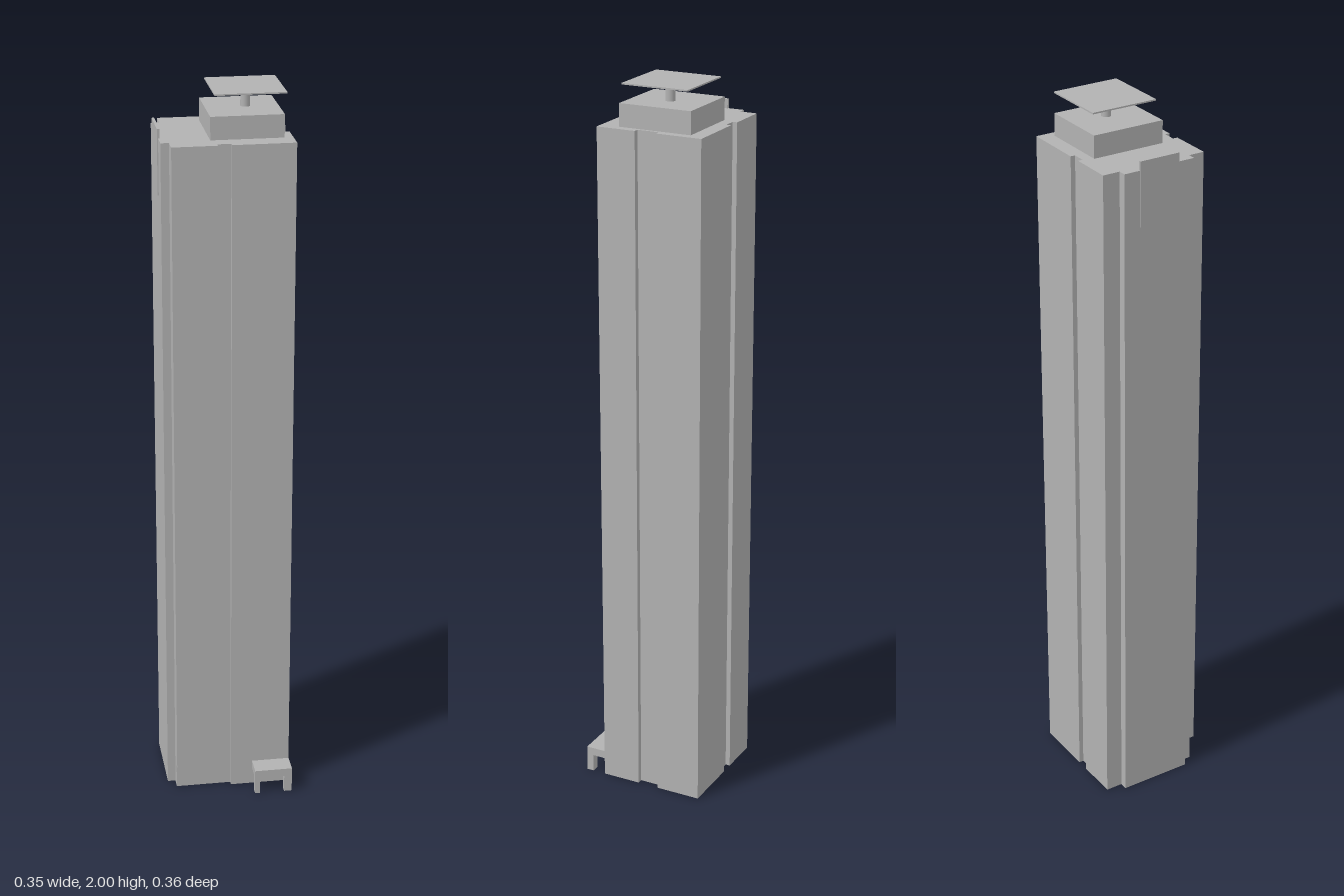
import * as THREE from 'three';

// Vertical walls following a closed outline of [x, z] points, open at top and bottom
function wallGeometry(outline, y0, y1) {
  const pos = [];
  outline.forEach(([ax, az], i) => {
    const [bx, bz] = outline[(i + 1) % outline.length];
    pos.push(ax, y0, az, bx, y0, bz, bx, y1, bz, ax, y0, az, bx, y1, bz, ax, y1, az);
  });
  const geo = new THREE.BufferGeometry();
  geo.setAttribute('position', new THREE.Float32BufferAttribute(pos, 3));
  geo.computeVertexNormals();
  return geo;
}

// Flat cap over the same kind of outline
function capGeometry(outline, y) {
  const shape = new THREE.Shape(outline.map(([x, z]) => new THREE.Vector2(x, -z)));
  return new THREE.ShapeGeometry(shape).rotateX(-Math.PI / 2).translate(0, y, 0);
}

export function createModel() {
  const group = new THREE.Group();
  group.name = 'tower';
  const concrete = new THREE.MeshStandardMaterial({ color: 0xb2b2b2, side: THREE.DoubleSide });
  concrete.name = 'concrete';

  const add = (name, geo) => {
    const mesh = new THREE.Mesh(geo, concrete);
    mesh.name = name;
    group.add(mesh);
  };
  // Box given by its minimum and maximum on each axis
  const box = (name, x0, x1, y0, y1, z0, z1) => add(name,
    new THREE.BoxGeometry(x1 - x0, y1 - y0, z1 - z0)
      .translate((x0 + x1) / 2, (y0 + y1) / 2, (z0 + z1) / 2));

  // Floor plan with a groove in the front, left and back, and a bay on the right
  const shared = [
    [0.005, 0.107], [0.005, 0.12], [0.172, 0.12],
    [0.172, 0.01], [0.157, 0.01], [0.157, -0.05], [0.172, -0.05],
    [0.172, -0.178], [0.003, -0.178], [0.003, -0.165], [-0.033, -0.165], [-0.033, -0.178],
    [-0.15, -0.178], [-0.15, -0.13], [-0.172, -0.13], [-0.172, 0.076], [-0.15, 0.076],
  ];
  const upper = [[-0.15, 0.12], [-0.031, 0.12], [-0.031, 0.107], ...shared];
  const lower = [[-0.15, 0.107], ...shared];
  const baseTop = 0.07, roofY = 1.885;

  // Tower shell, open underneath, with a recessed ground floor at one front corner
  add('towerWalls', wallGeometry(upper, baseTop, roofY));
  add('groundFloorWalls', wallGeometry(lower, 0, baseTop));
  add('roof', capGeometry(upper, roofY));
  add('recessSoffit', capGeometry(
    [[-0.15, 0.12], [-0.031, 0.12], [-0.031, 0.107], [-0.15, 0.107]], baseTop).scale(1, 1, 1));

  // Rooftop plant room and landing pad on its post
  box('plantRoom', -0.043, 0.149, roofY, 1.946, -0.137, 0.067);
  add('padPost', new THREE.CylinderGeometry(0.013, 0.013, 0.05, 16).translate(0.063, 1.971, -0.035));
  box('landingPad', -0.03, 0.157, 1.996, 2, -0.132, 0.055);

  // Sign plate at the top of the bay
  box('signPlate', -0.175, -0.168, 1.735, 1.91, -0.085, 0.03);

  // Entrance porch
  box('porchRoof', 0.066, 0.172, 0.05, 0.073, 0.12, 0.177);
  box('porchLeg', 0.066, 0.08, 0, 0.05, 0.157, 0.177);
  box('porchLeg', 0.15, 0.172, 0, 0.05, 0.157, 0.177);

  return group;
}
